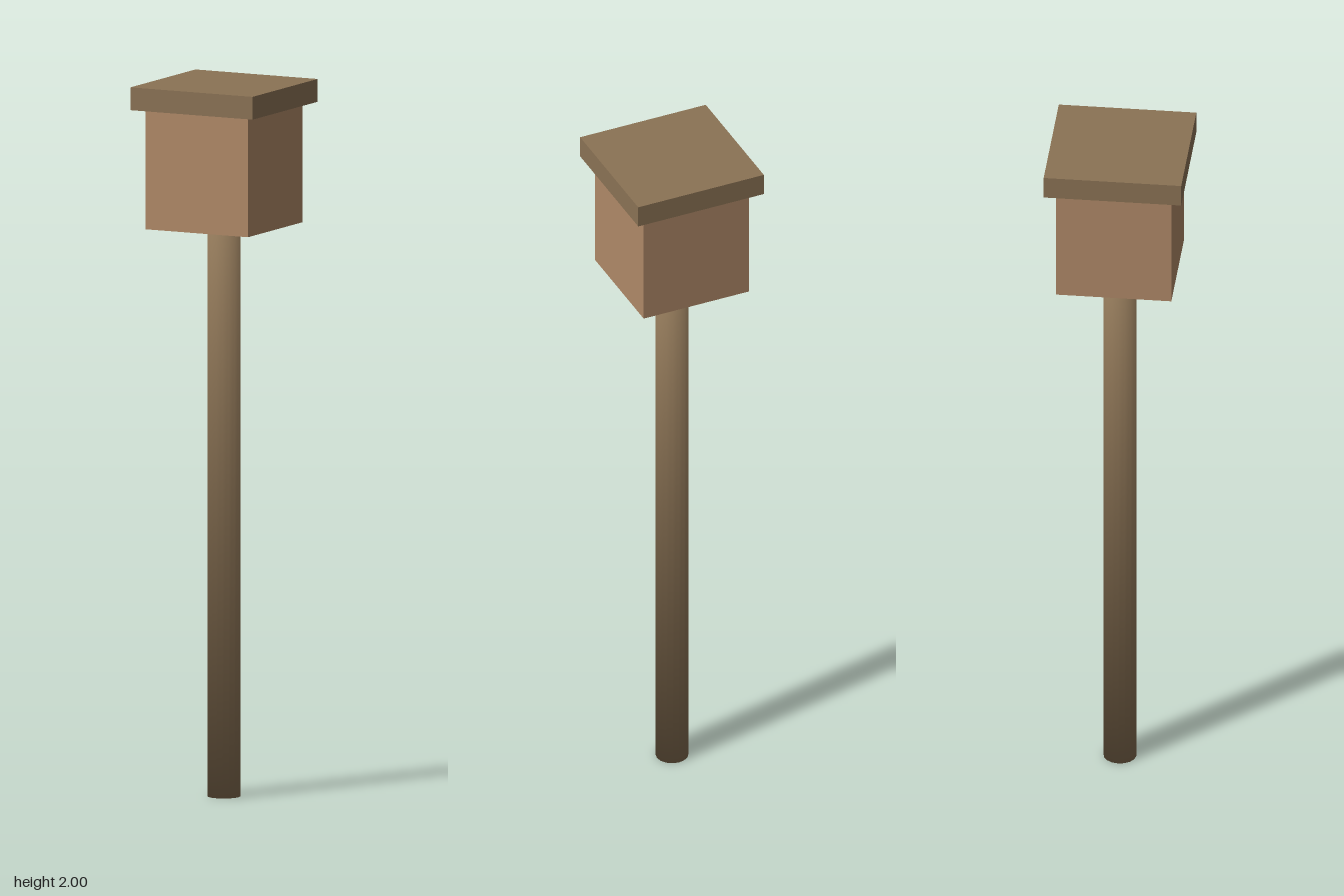
import * as THREE from 'three';

export function createModel() {
  const group = new THREE.Group();
  const darkWood = new THREE.MeshStandardMaterial({ color: 0x8b7355 });
  darkWood.name = 'dark wood';
  const lightWood = new THREE.MeshStandardMaterial({ color: 0xb08968 });
  lightWood.name = 'light wood';

  const add = (name, geometry, material, y) => {
    const mesh = new THREE.Mesh(geometry, material);
    mesh.name = name;
    mesh.position.y = y;
    group.add(mesh);
  };

  // Round post, with normals blended smoothly around its end rims
  const radius = 0.046, height = 1.6;
  const post = new THREE.CylinderGeometry(radius, radius, height, 16);
  const pos = post.attributes.position;
  const normal = new THREE.Vector3();
  for (let i = 0; i < pos.count; i++) {
    normal.set(pos.getX(i) / radius, Math.sign(pos.getY(i)), pos.getZ(i) / radius).normalize();
    post.attributes.normal.setXYZ(i, normal.x, normal.y, normal.z);
  }
  add('post', post, darkWood, height / 2);

  // Square box on the post, under an overhanging flat lid
  add('box', new THREE.BoxGeometry(0.322, 0.336, 0.322), lightWood, 1.768);
  add('lid', new THREE.BoxGeometry(0.384, 0.064, 0.384), darkWood, 1.968);

  return group;
}
